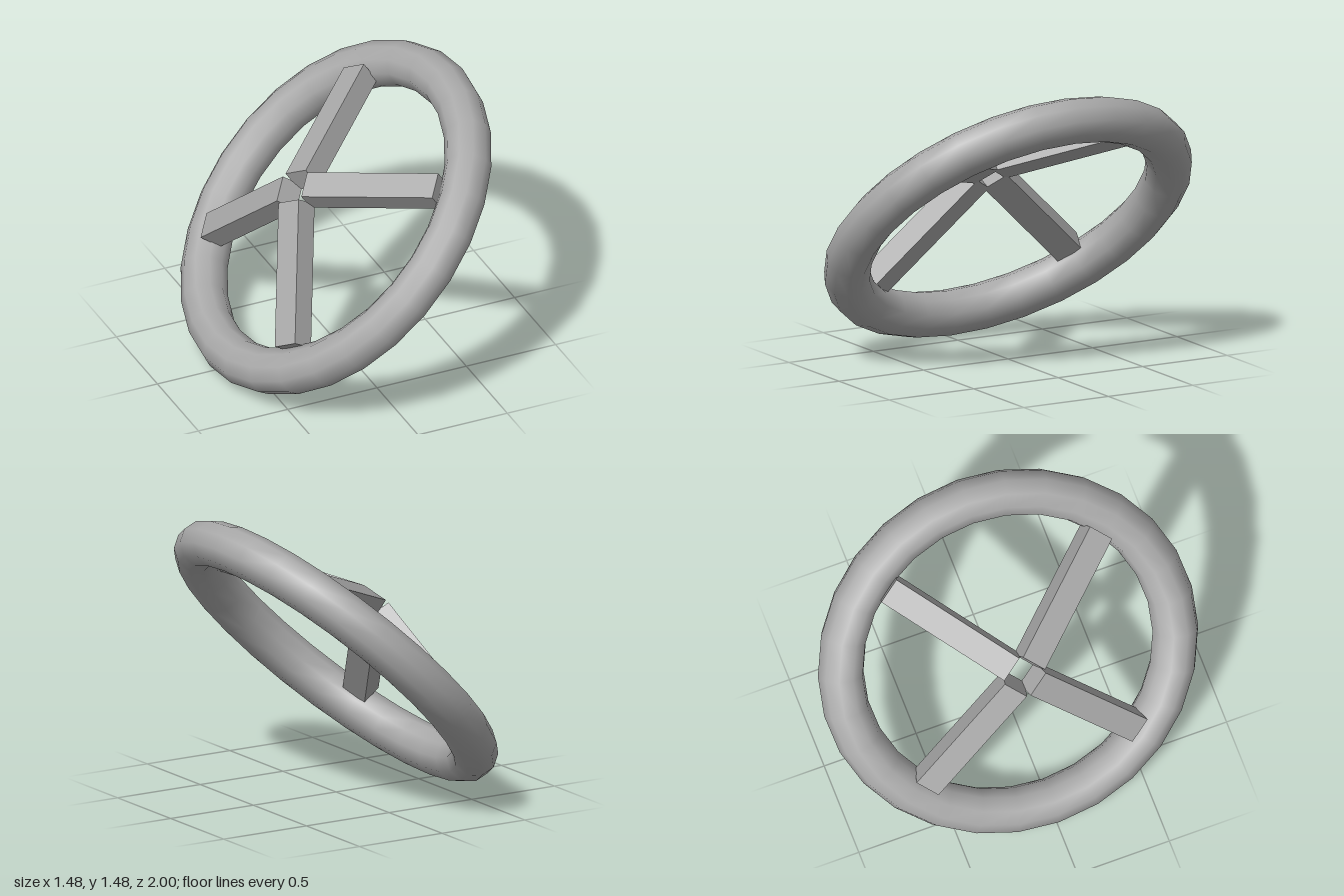
import * as THREE from 'three';

const TILT = Math.PI / 4;   // lean of the whole wheel
const TURN = 0.08;          // slight twist of the cross of spokes
const SLOPE = 0.292;        // fall of each spoke from hub to rim

export function createModel() {
  const model = new THREE.Group();
  model.name = 'steeringWheel';
  const grey = new THREE.MeshStandardMaterial({ color: 0xa8a8a8 });
  grey.name = 'grey';

  // Wheel built flat, then leaned about z
  const wheel = new THREE.Group();
  wheel.name = 'wheel';
  wheel.position.y = 0.743;
  wheel.rotation.z = TILT;
  model.add(wheel);

  // Round rim
  const rim = new THREE.Mesh(new THREE.TorusGeometry(0.88, 0.12, 10, 28), grey);
  rim.name = 'rim';
  rim.rotation.x = Math.PI / 2;
  wheel.add(rim);

  // Four square bars sloping from the raised hub down to the rim
  const length = 0.75;
  const bar = new THREE.BoxGeometry(length, 0.12, 0.14);
  bar.translate(length / 2, 0, 0);
  for (let i = 0; i < 4; i++) {
    const angle = Math.PI / 4 + TURN + i * Math.PI / 2;
    const spoke = new THREE.Mesh(bar, grey);
    spoke.name = 'spoke' + (i + 1);
    spoke.position.set(0.067 * Math.cos(angle), 0.29, 0.067 * Math.sin(angle));
    spoke.rotation.set(0, -angle, -SLOPE);
    wheel.add(spoke);
  }
  return model;
}
